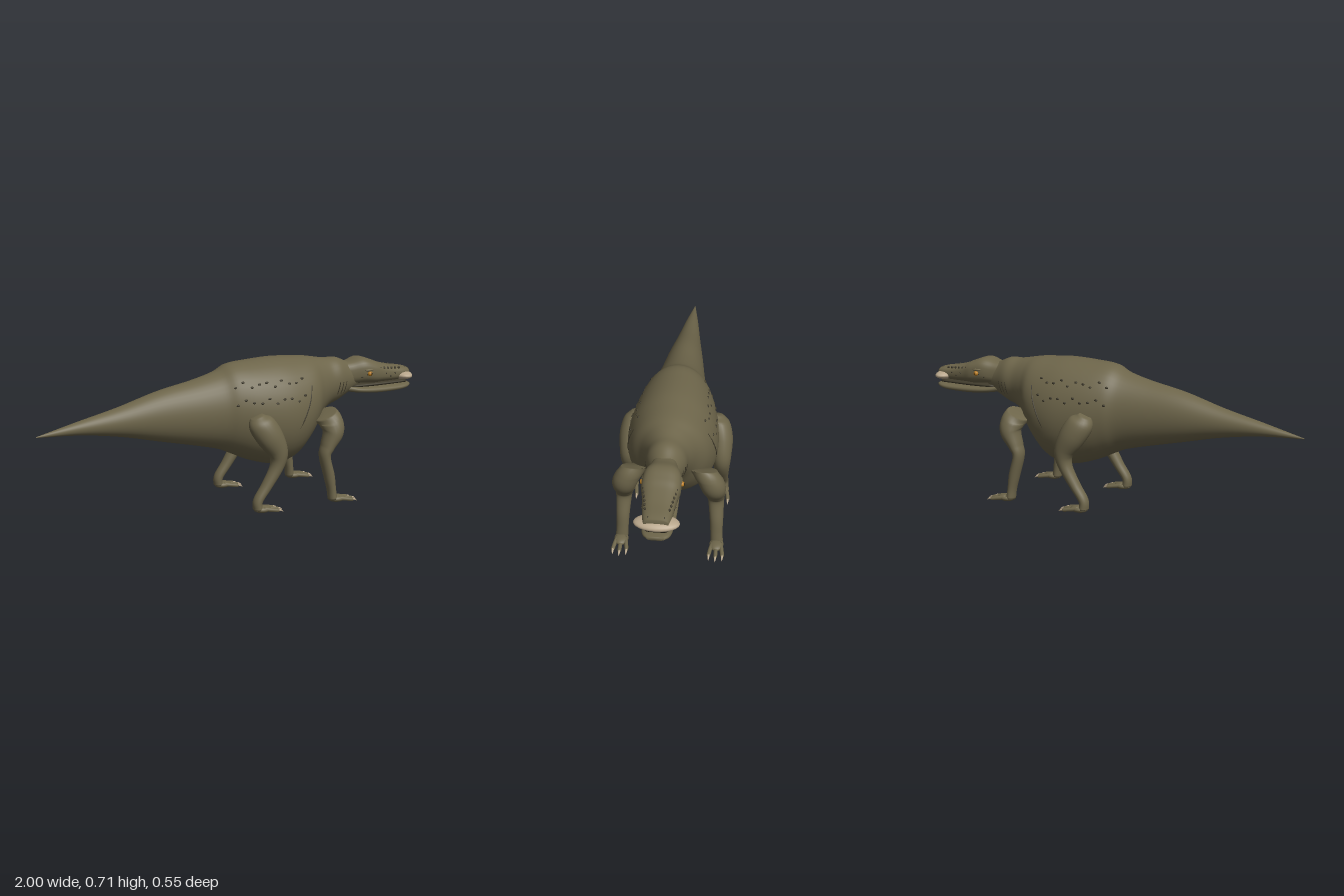
import * as THREE from 'three';

const mat = (name, color) => {
  const m = new THREE.MeshStandardMaterial({ color });
  m.name = name;
  return m;
};

// Smooth skin through rings [x, y, z, radius in the xy plane, radius along z].
// upright keeps rings vertical; square < 1 makes them boxier.
function loft(rings, { upright = false, square = 1, steps = 6, sides = 28 } = {}) {
  const path = new THREE.CatmullRomCurve3(rings.map(r => new THREE.Vector3(r[0], r[1], r[2])), false, 'catmullrom', 0.5);
  const size = new THREE.CatmullRomCurve3(rings.map(r => new THREE.Vector3(r[3], r[4], 0)), false, 'catmullrom', 0.5);
  const n = (rings.length - 1) * steps;
  const pos = [], index = [];
  const bend = v => Math.sign(v) * Math.pow(Math.abs(v), square);
  for (let i = -1; i <= n + 1; i++) {
    const t = Math.min(Math.max(i / n, 0), 1);
    const cap = i < 0 || i > n ? 0 : 1; // collapsed rings close the ends
    const p = path.getPoint(t), s = size.getPoint(t), d = path.getTangent(t);
    const len = Math.hypot(d.x, d.y) || 1;
    const ux = upright ? 0 : -d.y / len, uy = upright ? 1 : d.x / len;
    for (let j = 0; j < sides; j++) {
      const a = j / sides * Math.PI * 2;
      const u = bend(Math.cos(a)) * Math.max(s.x, 0) * cap;
      const w = bend(Math.sin(a)) * Math.max(s.y, 0) * cap;
      pos.push(p.x + ux * u, p.y + uy * u, p.z + w);
    }
  }
  for (let i = 0; i < n + 2; i++) for (let j = 0; j < sides; j++) {
    const k = (j + 1) % sides, a = i * sides, b = a + sides;
    index.push(a + j, a + k, b + j, a + k, b + k, b + j);
  }
  const g = new THREE.BufferGeometry();
  g.setAttribute('position', new THREE.Float32BufferAttribute(pos, 3));
  g.setIndex(index);
  g.computeVertexNormals();
  return g;
}

// Body sections: x, bottom, top, half width
const BODY = [
  [-1, 0.438, 0.442, 0.001], [-0.8, 0.428, 0.492, 0.032], [-0.6, 0.4, 0.54, 0.06], [-0.4, 0.355, 0.598, 0.09],
  [-0.22, 0.315, 0.635, 0.116], [-0.1, 0.285, 0.667, 0.14], [-0.03, 0.255, 0.7, 0.168], [0.07, 0.21, 0.71, 0.197],
  [0.2, 0.178, 0.716, 0.214], [0.3, 0.205, 0.711, 0.206], [0.38, 0.29, 0.705, 0.178], [0.44, 0.38, 0.695, 0.13],
  [0.5, 0.435, 0.685, 0.1], [0.56, 0.46, 0.684, 0.09], [0.62, 0.49, 0.66, 0.068], [0.68, 0.52, 0.64, 0.05],
];

// Half width of the body skin at a given x and y
function skinZ(x, y) {
  const i = Math.max(1, BODY.findIndex(r => r[0] >= x));
  const a = BODY[i - 1], b = BODY[i], t = (x - a[0]) / (b[0] - a[0]);
  const [lo, hi, w] = [1, 2, 3].map(k => a[k] + (b[k] - a[k]) * t);
  const v = (y - (lo + hi) / 2) / ((hi - lo) / 2);
  return w * Math.sqrt(Math.max(0, 1 - v * v));
}

export function createModel() {
  const root = new THREE.Group();
  root.name = 'reptile';
  const skin = mat('olive skin', 0x6d654a);
  const dark = mat('dark scales', 0x3f3a2b);
  const horn = mat('pale horn', 0xb8a68b);
  const amber = mat('amber eye', 0xb97c22);
  const pupilMat = mat('black pupil', 0x17130d);

  const add = (name, geo, material, parent = root) => {
    const m = new THREE.Mesh(geo, material);
    m.name = name;
    parent.add(m);
    return m;
  };
  const ball = new THREE.SphereGeometry(1, 24, 16);
  const bead = new THREE.SphereGeometry(1, 8, 6);
  const blob = (name, geo, material, p, r, parent) => {
    const m = add(name, geo, material, parent);
    m.position.set(...p);
    m.scale.set(...r);
    return m;
  };
  const groove = (name, pts, r) =>
    add(name, new THREE.TubeGeometry(new THREE.CatmullRomCurve3(pts), 16, r, 6), dark);

  // Tail, trunk and neck
  add('body', loft(BODY.map(([x, lo, hi, w]) => [x, (lo + hi) / 2, 0, (hi - lo) / 2, w]),
    { upright: true, sides: 40 }), skin);

  // Skull and snout
  add('head', loft([
    [0.58, 0.595, 0, 0.055, 0.05], [0.64, 0.6, 0, 0.06, 0.064], [0.7, 0.608, 0, 0.067, 0.083],
    [0.76, 0.597, 0, 0.061, 0.087], [0.81, 0.588, 0, 0.05, 0.078], [0.88, 0.579, 0, 0.04, 0.069],
    [0.94, 0.576, 0, 0.034, 0.063], [0.975, 0.576, 0, 0.026, 0.054],
  ], { upright: true, square: 0.75, sides: 32 }), skin);
  add('mouthLining', loft([
    [0.64, 0.532, 0, 0.014, 0.055], [0.8, 0.532, 0, 0.014, 0.058], [0.96, 0.532, 0, 0.012, 0.05],
  ], { upright: true }), dark);
  add('lowerJaw', loft([
    [0.61, 0.525, 0, 0.02, 0.05], [0.68, 0.512, 0, 0.018, 0.072], [0.78, 0.505, 0, 0.02, 0.075],
    [0.9, 0.504, 0, 0.018, 0.07], [0.96, 0.508, 0, 0.015, 0.06], [0.99, 0.512, 0, 0.009, 0.038],
  ], { upright: true, square: 0.8 }), skin);
  blob('beak', ball, horn, [0.945, 0.564, 0], [0.052, 0.025, 0.1]);

  for (const s of [1, -1]) {
    const side = s > 0 ? 'left' : 'right';

    // Eye with brow ridge
    blob(side + 'Eye', ball, amber, [0.72, 0.598, s * 0.086], [0.013, 0.012, 0.012]);
    blob(side + 'Pupil', ball, pupilMat, [0.723, 0.598, s * 0.0965], [0.003, 0.007, 0.002]);
    blob(side + 'Brow', ball, skin, [0.72, 0.616, s * 0.079], [0.028, 0.007, 0.011]);

    // Beads along the brow, snout and cheek
    for (let i = 0; i < 8; i++) {
      const t = i / 7;
      blob(side + 'BrowBead', bead, dark, [0.74 + t * 0.17, 0.622 - t * 0.014, s * (0.08 - t * 0.027)], [0.007, 0.007, 0.005]);
      blob(side + 'CheekBead', bead, dark,
        [0.68 + t * 0.2, 0.582 + (i % 2) * 0.014 - t * 0.01, s * (i === 0 ? 0.078 : 0.086 - t * 0.016)], [0.005, 0.004, 0.003]);
    }
    blob(side + 'Nostril', bead, dark, [0.955, 0.6, s * 0.035], [0.007, 0.005, 0.004]);

    // Rows of scales on the flank
    for (let i = 0; i < 10; i++) {
      const x = -0.05 + i * 0.038;
      for (const y0 of [0.615, 0.538]) {
        const y = y0 + 0.013 * Math.sin(i * 2.4 + y0 * 9);
        blob(side + 'FlankScale', bead, dark, [x, y, s * skinZ(x, y)], [0.009, 0.006, 0.005]);
      }
    }

    // Skin creases on the shoulder and throat
    const onSkin = (x, y) => new THREE.Vector3(x, y, s * skinZ(x, y));
    groove(side + 'ShoulderCrease', [[0.34, 0.59], [0.32, 0.52], [0.285, 0.44], [0.25, 0.37]].map(p => onSkin(...p)), 0.004);
    for (let i = 0; i < 3; i++) {
      const x = 0.545 + i * 0.022;
      groove(side + 'ThroatCrease', [0.57, 0.54, 0.51].map((y, k) => onSkin(x - k * 0.005, y)), 0.0025);
    }

    // Legs: sections are x, y, z, radius fore-aft, radius sideways
    const legs = {
      FrontLeg: [
        [0.42, 0.44, 0.158, 0.06, 0.064], [0.437, 0.405, 0.187, 0.06, 0.064], [0.44, 0.355, 0.207, 0.052, 0.058],
        [0.408, 0.29, 0.214, 0.034, 0.046], [0.391, 0.24, 0.218, 0.027, 0.038], [0.414, 0.14, 0.223, 0.027, 0.032],
        [0.427, 0.07, 0.225, 0.022, 0.029], [0.433, 0.02, 0.228, 0.022, 0.03],
      ],
      HindLeg: [
        [0.03, 0.475, 0.19, 0.03, 0.03], [0.045, 0.44, 0.205, 0.062, 0.052], [0.085, 0.375, 0.22, 0.066, 0.055],
        [0.128, 0.295, 0.225, 0.05, 0.046], [0.122, 0.225, 0.226, 0.034, 0.038], [0.07, 0.135, 0.226, 0.026, 0.031],
        [0.022, 0.065, 0.227, 0.023, 0.029], [0.02, 0.02, 0.228, 0.023, 0.03],
      ],
    };
    for (const [kind, rings] of Object.entries(legs)) {
      const leg = new THREE.Group();
      leg.name = side + kind;
      root.add(leg);
      add('limb', loft(rings.map(([x, y, z, a, b]) => [x, y, s * z, a, b]), { sides: 24 }), skin, leg);

      // Foot with three clawed toes
      const [x, , z] = rings[rings.length - 1];
      blob('sole', ball, skin, [x + 0.025, 0.02, s * z], [0.045, 0.018, 0.034], leg);
      for (const k of [-1, 0, 1]) {
        const reach = k === 0 ? 0.01 : 0, tz = s * z + k * 0.032;
        add('toe', loft([
          [x + 0.02, 0.024, s * z + k * 0.018, 0.012, 0.011], [x + 0.06, 0.018, s * z + k * 0.027, 0.01, 0.01],
          [x + 0.093 + reach, 0.012, tz, 0.009, 0.009], [x + 0.1 + reach, 0.011, tz, 0.005, 0.005],
        ], { sides: 12, steps: 4 }), skin, leg);
        add('claw', loft([
          [x + 0.088 + reach, 0.014, tz, 0.007, 0.006], [x + 0.108 + reach, 0.011, tz, 0.005, 0.005],
          [x + 0.122 + reach, 0.003, tz, 0.001, 0.001],
        ], { sides: 10, steps: 4 }), horn, leg);
      }
    }
  }
  return root;
}
